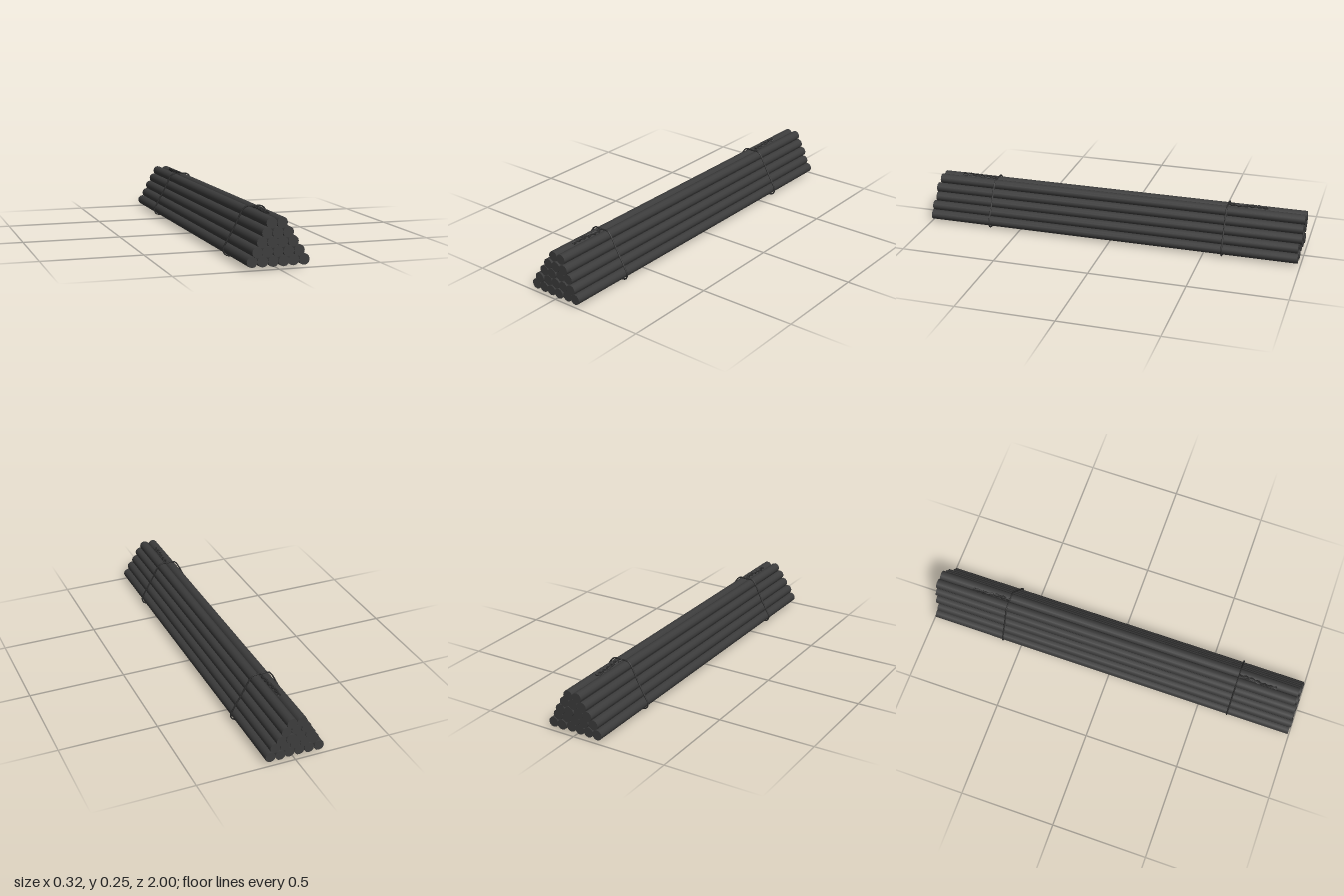
import * as THREE from 'three';

const steel = new THREE.MeshStandardMaterial({ color: 0x3c3c3c });
const wire = new THREE.MeshStandardMaterial({ color: 0x2c2c2c });

const RADIUS = 0.026, PITCH = 0.05, ROW_RISE = 0.0427;

// Front and back ends of each row, bottom row first
const rowEnds = [[0.995, -0.985], [0.992, -0.985], [0.985, -0.995], [0.985, -0.998], [0.976, -0.998]];

function createRods() {
  const rods = new THREE.Group();
  rods.name = 'rods';
  rowEnds.forEach(([front, back], row) => {
    const count = 6 - row;
    for (let i = 0; i < count; i++) {
      // Rods are slightly staggered along their length
      const shift = (((i * 5 + row * 3) % 4) - 1.5) * 0.002;
      const rod = new THREE.Mesh(new THREE.CylinderGeometry(RADIUS, RADIUS, front - back, 12), steel);
      rod.name = 'rod';
      rod.rotation.x = Math.PI / 2;
      rod.position.set(
        (i - (count - 1) / 2) * PITCH - 0.002,
        0.0395 + row * ROW_RISE,
        (front + back) / 2 + shift
      );
      rods.add(rod);
    }
  });
  return rods;
}

// Outline of the wire around the stack
const outline = [
  [0, 0.239], [0.026, 0.241], [0.045, 0.234], [0.1, 0.143], [0.152, 0.051], [0.155, 0.036],
  [0.147, 0.016], [0.125, 0.008], [0.06, 0.006], [-0.06, 0.006], [-0.125, 0.007],
  [-0.147, 0.016], [-0.155, 0.036], [-0.152, 0.048], [-0.1, 0.143], [-0.05, 0.234], [-0.028, 0.241]
];

function createTie(z, direction, length) {
  const tie = new THREE.Group();
  tie.name = 'wireTie';

  const path = new THREE.CatmullRomCurve3(outline.map(([x, y]) => new THREE.Vector3(x, y, 0)), true);
  const loop = new THREE.Mesh(new THREE.TubeGeometry(path, 96, 0.004, 6, true), wire);
  loop.name = 'wireLoop';
  tie.add(loop);

  // Two strands twisted together and laid along the top
  for (const phase of [0, Math.PI]) {
    const points = [];
    for (let i = 0; i <= 40; i++) {
      const t = i / 40, a = phase + t * Math.PI * 6;
      points.push(new THREE.Vector3(
        -0.002 + 0.006 * Math.cos(a) + 0.004 * Math.sin(t * Math.PI * 2),
        0.24 + 0.005 * Math.sin(a),
        direction * length * t
      ));
    }
    const strand = new THREE.Mesh(
      new THREE.TubeGeometry(new THREE.CatmullRomCurve3(points), 80, 0.004, 6), wire);
    strand.name = 'twistedStrand';
    tie.add(strand);

    // Flat ends of the strand
    for (const [end, next] of [[points[0], points[1]], [points[40], points[39]]]) {
      const cap = new THREE.Mesh(new THREE.CircleGeometry(0.004, 6), wire);
      cap.name = 'strandEnd';
      cap.position.copy(end);
      cap.lookAt(end.clone().multiplyScalar(2).sub(next));
      tie.add(cap);
    }
  }
  tie.position.z = z;
  return tie;
}

export function createModel() {
  const model = new THREE.Group();
  model.name = 'rodBundle';
  model.add(createRods(), createTie(0.66, 1, 0.2), createTie(-0.6, -1, 0.205));
  return model;
}
